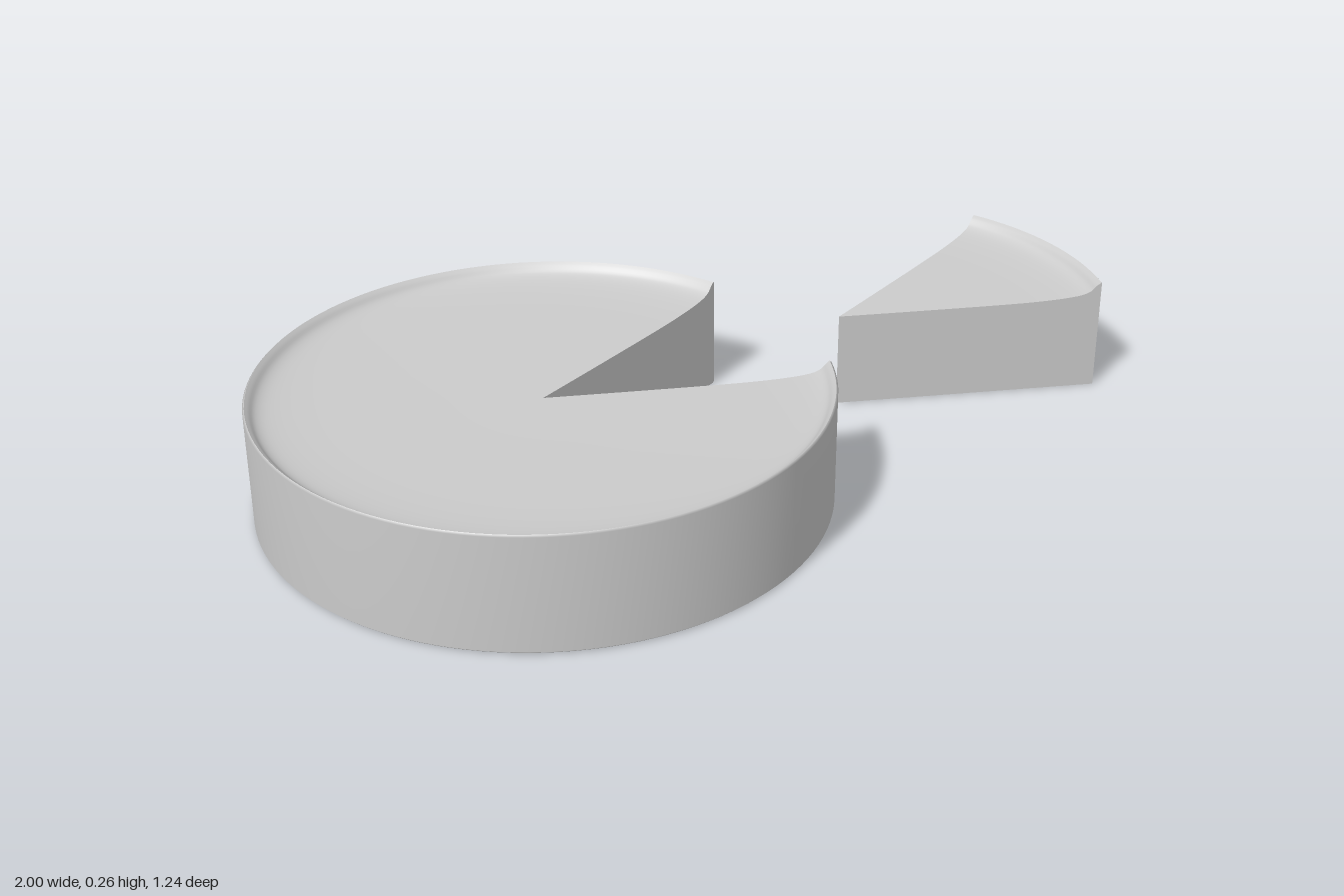
import * as THREE from 'three';

const R = 0.62, TOP = 0.262;
const material = new THREE.MeshStandardMaterial({ color: 0xcccccc, side: THREE.DoubleSide });
const vec = (pts) => pts.map(([x, y]) => new THREE.Vector2(x, y));

// A sector of the dished round, built from revolved skins and two flat cut faces
function sector(name, start, length, segments, bevel) {
  const group = new THREE.Group();
  group.name = name;
  const base = [[0, 0], [R - bevel, 0]];
  const wall = [[R - bevel, 0], [R, bevel], [R, TOP - bevel], [R - bevel, TOP]];
  const dish = new THREE.SplineCurve(vec([
    [R - bevel, TOP], [0.608, 0.255], [0.594, 0.241], [0.565, 0.232],
    [0.5, 0.226], [0.4, 0.223], [0.2, 0.222], [0, 0.222],
  ])).getPoints(28);

  const add = (part, geometry) => {
    const mesh = new THREE.Mesh(geometry, material);
    mesh.name = part;
    group.add(mesh);
    return mesh;
  };
  add('base', new THREE.LatheGeometry(vec(base), segments, start, length));
  add('outerWall', new THREE.LatheGeometry(vec(wall), segments, start, length));
  add('dishedTop', new THREE.LatheGeometry(dish, segments, start, length));

  // Cut faces share the revolved cross-section
  const outline = new THREE.Shape([...vec(base), ...vec(wall.slice(1)), ...dish.slice(1)]);
  for (const phi of [start, start + length]) {
    add('cutFace', new THREE.ShapeGeometry(outline)).rotation.y = phi - Math.PI / 2;
  }
  return group;
}

export function createModel() {
  const model = new THREE.Group();
  model.name = 'cutRound';
  const half = Math.PI / 8;

  // Main round with a 45 degree gap facing +x
  const wheel = sector('wheel', Math.PI / 2 + half, Math.PI * 2 - half * 2, 112, 0.004);
  wheel.position.x = -0.38;

  // Matching wedge pulled straight out of the gap
  const wedge = sector('wedge', Math.PI / 2 - half, half * 2, 16, 0.001);
  wedge.position.x = 0.38;

  model.add(wheel, wedge);
  return model;
}
